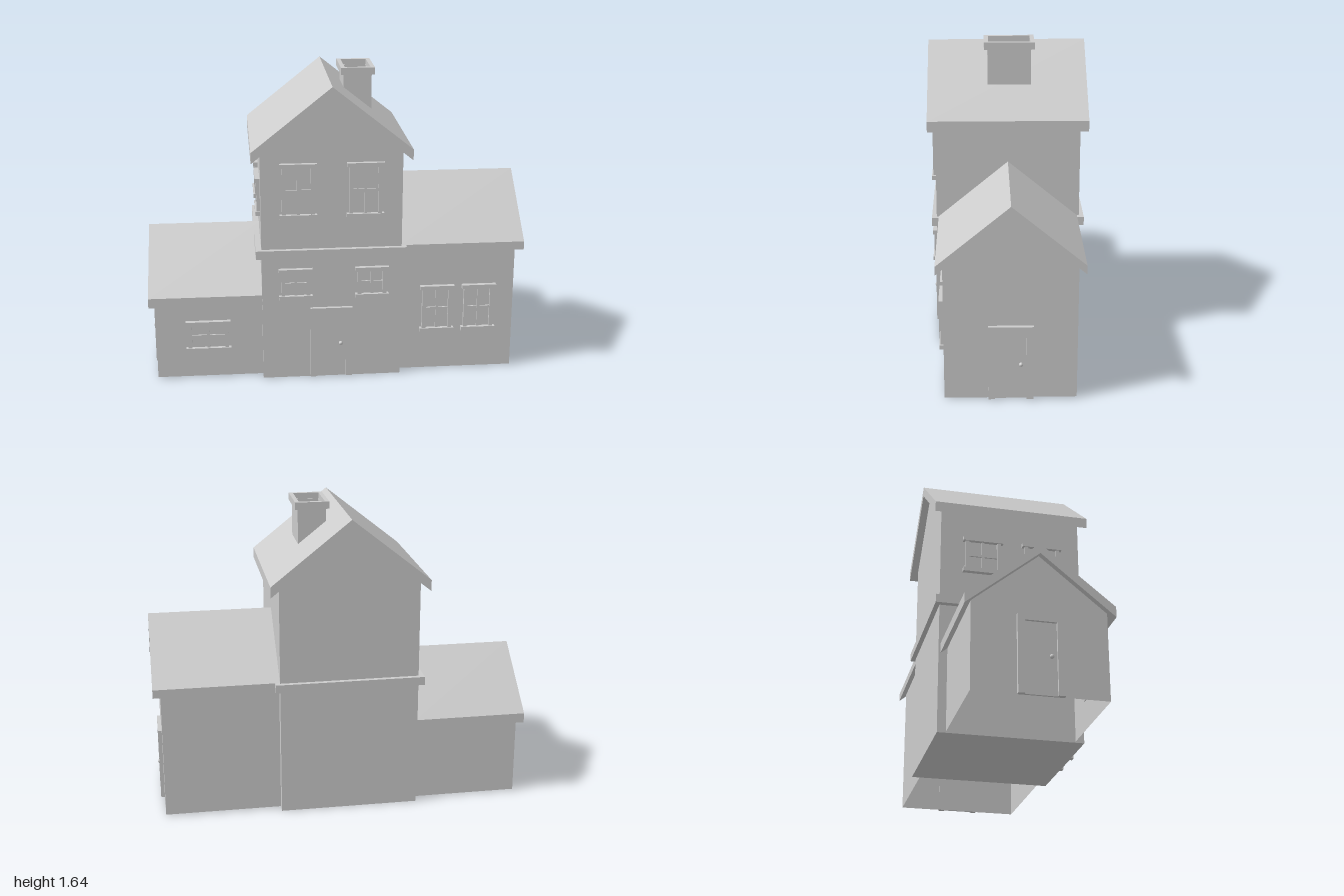
import * as THREE from 'three';

const mat = new THREE.MeshStandardMaterial({ color: 0xcccccc, flatShading: true });
const thinMat = new THREE.MeshStandardMaterial({ color: 0xcccccc, flatShading: true, side: THREE.DoubleSide });

function add(parent, name, geometry, material = mat) {
  const mesh = new THREE.Mesh(geometry, material);
  mesh.name = name;
  parent.add(mesh);
  return mesh;
}

// Box given by its min and max corners
function box(parent, name, x0, x1, y0, y1, z0, z1) {
  const m = add(parent, name, new THREE.BoxGeometry(x1 - x0, y1 - y0, z1 - z0));
  m.position.set((x0 + x1) / 2, (y0 + y1) / 2, (z0 + z1) / 2);
  return m;
}

const shapeOf = (pts) => new THREE.Shape(pts.map(([x, y]) => new THREE.Vector2(x, y)));

function prism(shape, z0, z1) {
  return new THREE.ExtrudeGeometry(shape, { depth: z1 - z0, bevelEnabled: false }).translate(0, 0, z0);
}

// Pitched roof slab with vertical fascias, ridge along local z
function roof(parent, name, half, eaveTop, eaveBottom, ridgeTop, ridgeBottom, z0, z1) {
  return add(parent, name, prism(shapeOf([
    [-half, eaveBottom], [0, ridgeBottom], [half, eaveBottom],
    [half, eaveTop], [0, ridgeTop], [-half, eaveTop],
  ]), z0, z1));
}

// Rectangular ring with a hole, extruded upwards
function ringUp(parent, name, x, z, w, d, wall, y0, y1) {
  const s = shapeOf([[-w / 2, -d / 2], [w / 2, -d / 2], [w / 2, d / 2], [-w / 2, d / 2]]);
  const a = w / 2 - wall, b = d / 2 - wall;
  s.holes.push(new THREE.Path([[-a, -b], [-a, b], [a, b], [a, -b]].map(([u, v]) => new THREE.Vector2(u, v))));
  const m = add(parent, name, prism(s, 0, y1 - y0));
  m.rotation.x = -Math.PI / 2;
  m.position.set(x, y0, z);
}

// Four-pane window facing local +z; width is that of the sill
function makeWindow(w, h) {
  const g = new THREE.Group();
  g.name = 'window';
  const a = w / 2 - 0.012, t = 0.022;
  box(g, 'glass', -a, a, 0.01, h - 0.01, -0.004, 0.004);
  box(g, 'sill', -w / 2, w / 2, 0, t, -0.004, 0.025);
  box(g, 'lintel', -w / 2, w / 2, h - t, h, -0.004, 0.025);
  for (const s of [-1, 1]) {
    const x = s * (a - 0.01);
    box(g, 'jamb', x - 0.01, x + 0.01, t, h - t, -0.004, 0.018);
  }
  box(g, 'mullion', -0.007, 0.007, t, h - t, -0.004, 0.013);
  box(g, 'crossbar', -a + 0.02, a - 0.02, h / 2 - 0.007, h / 2 + 0.007, -0.004, 0.012);
  return g;
}

// Door with frame and knob, facing local +z
function makeDoor() {
  const g = new THREE.Group();
  g.name = 'door';
  box(g, 'doorPanel', -0.078, 0.078, 0.006, 0.37, -0.004, 0.007);
  for (const s of [-1, 1]) {
    const x = s * 0.095;
    box(g, 'doorPost', x - 0.017, x + 0.017, 0.006, 0.37, -0.004, 0.02);
  }
  box(g, 'doorLintel', -0.112, 0.112, 0.37, 0.402, -0.004, 0.02);
  const knob = add(g, 'doorKnob', new THREE.SphereGeometry(0.011, 12, 8));
  knob.position.set(0.05, 0.197, 0.018);
  return g;
}

function place(parent, part, x, y, z, turn = 0) {
  part.position.set(x, y, z);
  part.rotation.y = turn;
  parent.add(part);
}

// Side wing: walls open underneath, roof and end door; grows along local +z
function makeWing(name, start, wallEnd, roofEnd, eaveTop, eaveBottom, ridge) {
  const g = new THREE.Group();
  g.name = name;
  const half = 0.33, roofHalf = 0.365, y0 = 0.006, under = ridge - 0.05;
  const wallTop = under - (under - eaveBottom) * half / roofHalf + 0.006;
  const length = wallEnd - start;
  for (const s of [-1, 1]) {
    const wall = add(g, 'sideWall', new THREE.PlaneGeometry(length, wallTop - y0), thinMat);
    wall.rotation.y = s * Math.PI / 2;
    wall.position.set(s * half, (wallTop + y0) / 2, start + length / 2);
  }
  const end = add(g, 'gableWall', new THREE.ShapeGeometry(shapeOf([
    [-half, y0], [half, y0], [half, wallTop], [0, under + 0.006], [-half, wallTop],
  ])), thinMat);
  end.position.z = wallEnd;
  roof(g, 'wingRoof', roofHalf, eaveTop, eaveBottom, ridge, under, start, roofEnd);
  place(g, makeDoor(), 0, 0, wallEnd);
  return g;
}

export function createModel() {
  const model = new THREE.Group();
  model.name = 'house';

  // Central tower with gables to front and back
  const cx = -0.03, half = 0.37, depth = 0.375;
  const tower = new THREE.Group();
  tower.name = 'tower';
  model.add(tower);
  const walls = add(tower, 'towerWalls', prism(shapeOf([
    [-half, 0], [half, 0], [half, 1.25], [0, 1.55], [-half, 1.25],
  ]), -depth, depth));
  walls.position.x = cx;
  roof(tower, 'towerRoof', 0.417, 1.27, 1.212, 1.602, 1.545, -0.415, 0.415).position.x = cx;
  box(tower, 'storeyBand', cx - 0.4, cx + 0.395, 0.69, 0.735, -0.4, 0.4);

  // Hollow chimney with a wider cap
  ringUp(tower, 'chimney', 0.13, -0.01, 0.15, 0.225, 0.008, 1.36, 1.61);
  ringUp(tower, 'chimneyCap', 0.13, -0.01, 0.18, 0.262, 0.022, 1.602, 1.64);

  // Side wings
  place(model, makeWing('leftWing', 0.335, 0.96, 1, 0.735, 0.69, 1.038), 0, 0, 0, Math.PI / 2);
  place(model, makeWing('rightWing', 0.395, 0.967, 1, 0.475, 0.422, 0.77), 0, 0, 0, -Math.PI / 2);

  // Front door and windows: x, bottom, z, width, height, turn
  place(tower, makeDoor(), -0.033, 0, depth);
  const windows = [
    [-0.205, 0.905, depth, 0.195, 0.295],
    [0.145, 0.905, depth, 0.195, 0.295],
    [-0.222, 0.455, depth, 0.178, 0.172],
    [0.183, 0.455, depth, 0.178, 0.172],
    [0.543, 0.225, 0.33, 0.185, 0.265],
    [0.77, 0.225, 0.33, 0.185, 0.265],
    [-0.69, 0.155, 0.33, 0.24, 0.173],
    [cx - half, 0.89, -0.15, 0.215, 0.203, -Math.PI / 2],
    [cx - half, 0.89, 0.17, 0.215, 0.203, -Math.PI / 2],
  ];
  for (const [x, y, z, w, h, turn] of windows) place(model, makeWindow(w, h), x, y, z, turn);

  return model;
}
